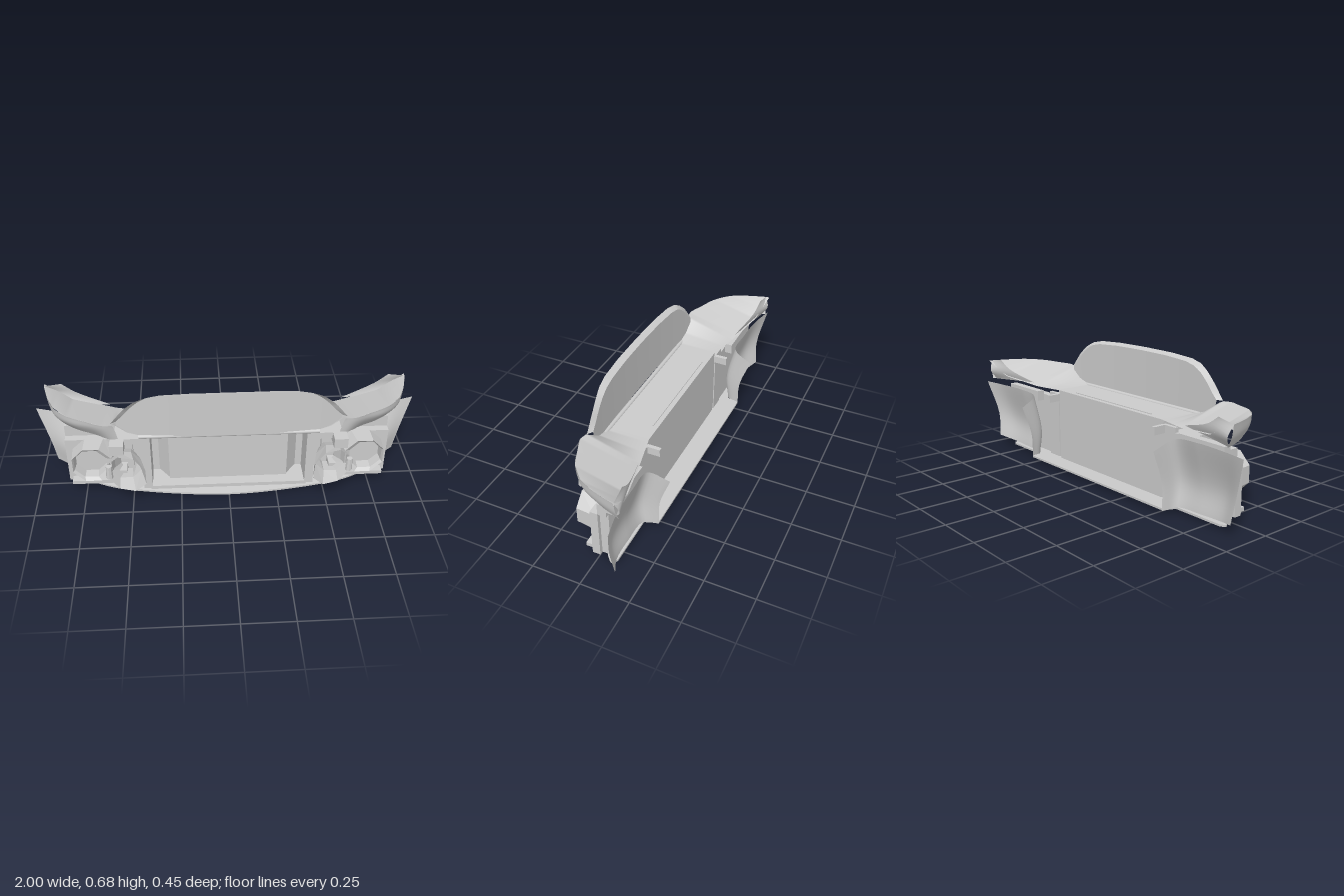
import * as THREE from 'three';
import { ParametricGeometry } from 'three/addons/geometries/ParametricGeometry.js';

const grey = new THREE.MeshStandardMaterial({ color: 0xcccccc, side: THREE.DoubleSide });
const faceted = new THREE.MeshStandardMaterial({ color: 0xcccccc, side: THREE.DoubleSide, flatShading: true });
const oneSided = new THREE.MeshStandardMaterial({ color: 0xcccccc });

function add(parent, name, geometry, material = grey) {
  const mesh = new THREE.Mesh(geometry, material);
  mesh.name = name;
  parent.add(mesh);
  return mesh;
}

// Box given by its limits on each axis
function box(parent, name, x0, x1, y0, y1, z0, z1) {
  const mesh = add(parent, name, new THREE.BoxGeometry(x1 - x0, y1 - y0, z1 - z0));
  mesh.position.set((x0 + x1) / 2, (y0 + y1) / 2, (z0 + z1) / 2);
  return mesh;
}

// Linear lookup in a short list of [key, a, b, ...] rows
function lookup(rows, key) {
  let i = 0;
  while (i < rows.length - 2 && key > rows[i + 1][0]) i++;
  const [a, b] = [rows[i], rows[i + 1]];
  const t = THREE.MathUtils.clamp((key - a[0]) / (b[0] - a[0]), 0, 1);
  return a.map((v, k) => v + (b[k] - v) * t);
}

// Surface spanned between smooth curves through points
function skin(curves, nu = 20, nv = 8) {
  const paths = curves.map(c => new THREE.CatmullRomCurve3(c.map(p => new THREE.Vector3(...p))));
  return new ParametricGeometry((u, v, out) => {
    const points = paths.map(p => p.getPoint(u));
    if (points.length === 2) out.lerpVectors(points[0], points[1], v);
    else out.copy(new THREE.CatmullRomCurve3(points).getPoint(v));
  }, nu, nv);
}

// Open eight-sided funnel lofted through [x, y, z, rx, ry, slant] rings
function funnel(rings) {
  const sides = 8, position = [], index = [];
  rings.forEach(([x, y, z, rx, ry, slant = 0], r) => {
    for (let i = 0; i < sides; i++) {
      const a = (i + 0.5) / sides * Math.PI * 2;
      position.push(x + rx * Math.cos(a), y + ry * Math.sin(a), z - slant * Math.cos(a));
      if (r === 0) continue;
      const j = (i + 1) % sides, p = (r - 1) * sides, q = r * sides;
      index.push(p + i, p + j, q + j, p + i, q + j, q + i);
    }
  });
  const g = new THREE.BufferGeometry();
  g.setAttribute('position', new THREE.Float32BufferAttribute(position, 3));
  g.setIndex(index);
  g.computeVertexNormals();
  return g;
}

// Height of the deck's front edge: low in the middle, raised over the wings
const deckHeight = x => lookup([[0, 0.41], [0.42, 0.41], [0.5, 0.435], [0.575, 0.495], [0.94, 0.515]], Math.abs(x))[1];

function createFloor() {
  const s = new THREE.Shape();
  s.moveTo(-0.53, 0.17);
  s.lineTo(0.53, 0.17);
  s.lineTo(0.55, 0.1);
  s.lineTo(0.82, 0.1);
  s.splineThru([[0.84, 0.07], [0.74, 0], [0.5, -0.085], [0, -0.14], [-0.5, -0.085], [-0.74, 0], [-0.84, 0.07], [-0.82, 0.1]]
    .map(p => new THREE.Vector2(...p)));
  s.lineTo(-0.55, 0.1);
  const g = new THREE.ExtrudeGeometry(s, { depth: 0.01, bevelEnabled: false, curveSegments: 32 });
  g.rotateX(-Math.PI / 2);
  const p = g.attributes.position;
  // Slopes up towards the back
  for (let i = 0; i < p.count; i++) p.setY(i, p.getY(i) + (0.14 - p.getZ(i)) * 0.06);
  g.computeVertexNormals();
  return g;
}

// Upright panel: a gently bowed face inside a rim that flares forward
function createPanel() {
  const panel = new THREE.Group();
  panel.name = 'uprightPanel';
  const shoulder = [[0, 0.675], [0.2, 0.673], [0.35, 0.665], [0.42, 0.65], [0.47, 0.62], [0.52, 0.575], [0.56, 0.525], [0.58, 0.5]];
  const rimDepth = [[0.5, 0.165], [0.58, 0.168], [0.63, 0.176], [0.66, 0.188], [0.675, 0.2]];
  const faceEdge = s => {
    const x = 0.555 * Math.sin(s * Math.PI / 2);
    const y = lookup(shoulder, Math.abs(x) * 0.58 / 0.555)[1];
    return new THREE.Vector3(x, y - 0.012 * THREE.MathUtils.smoothstep(y, 0.49, 0.56), 0.147 + 0.02 * (1 - (x / 0.555) ** 2));
  };
  const rimEdge = s => {
    const x = 0.58 * Math.sin(s * Math.PI / 2);
    const y = lookup(shoulder, Math.abs(x))[1];
    return new THREE.Vector3(x, y, lookup(rimDepth, y)[1]);
  };
  add(panel, 'panelFace', new ParametricGeometry((u, v, out) => {
    out.copy(faceEdge(u * 2 - 1));
    out.y = THREE.MathUtils.lerp(Math.min(deckHeight(out.x), out.y), out.y, v);
  }, 44, 8));
  add(panel, 'panelRim', new ParametricGeometry((u, v, out) => {
    out.lerpVectors(faceEdge(u * 2 - 1), rimEdge(u * 2 - 1), v);
  }, 44, 2));
  return panel;
}

// Everything that exists on both sides
function createSide() {
  const side = new THREE.Group();

  // Wing: top falling to the rear, front lip and tip fin
  const outline = [[0.57, 0.17], [0.62, 0.178], [0.7, 0.145], [0.79, 0.105], [0.87, 0.03], [0.91, -0.06], [0.94, -0.165]];
  add(side, 'wingTop', new ParametricGeometry((u, v, out) => {
    const x = 0.4 + 0.54 * u;
    const [, rearY, rearZ] = lookup([[0.4, 0.41, -0.06], [0.57, 0.412, -0.1], [0.8, 0.44, -0.155], [0.94, 0.515, -0.185]], x);
    const frontZ = x < 0.57 ? 0.155 : lookup(outline, x)[1];
    out.set(x, THREE.MathUtils.lerp(deckHeight(x), rearY, v), THREE.MathUtils.lerp(frontZ, rearZ, v));
  }, 36, 6), oneSided);
  const tuck = x => Math.sin((x - 0.57) / 0.37 * Math.PI);
  add(side, 'wingLip', skin([
    outline.map(([x, z]) => [x, deckHeight(x), z]),
    outline.map(([x, z]) => [x - 0.006, deckHeight(x) - 0.02 - (x - 0.57) * 0.1, z - 0.004]),
    outline.map(([x, z]) => [x - 0.02 - 0.02 * tuck(x), 0.402 + (x - 0.57) * 0.03 - 0.008 * tuck(x), z - 0.012 - 0.025 * tuck(x)])
  ]));
  add(side, 'wingTip', skin([
    [[0.94, 0.515, -0.165], [0.925, 0.46, -0.185], [0.91, 0.41, -0.155]],
    [[0.85, 0.53, -0.16], [0.78, 0.485, -0.15], [0.6, 0.43, -0.105]]
  ], 8, 6));

  // Wheel arch liner with its flared inner and outer edges
  add(side, 'archLiner', skin([
    [[0.53, 0.015, -0.17], [0.53, 0.155, -0.175], [0.53, 0.315, -0.23]],
    [[0.56, 0.025, -0.1], [0.56, 0.155, -0.085], [0.56, 0.36, -0.13]],
    [[0.7, 0.03, -0.09], [0.7, 0.155, -0.075], [0.7, 0.375, -0.127]],
    [[0.83, 0.04, -0.1], [0.84, 0.17, -0.085], [0.87, 0.375, -0.135]],
    [[0.92, 0.06, -0.14], [0.94, 0.19, -0.13], [1, 0.38, -0.165]]
  ], 12, 20));

  // Lamp housing and frame
  box(side, 'lampHousing', 0.5, 0.82, 0.04, 0.3, -0.065, -0.02);
  box(side, 'lampFlange', 0.57, 0.84, 0.04, 0.3, -0.02, 0.02);
  box(side, 'lampTray', 0.56, 0.82, 0.045, 0.065, 0.0, 0.065);
  box(side, 'upperBracket', 0.49, 0.84, 0.3, 0.365, -0.065, -0.02);
  box(side, 'upperBracketRear', 0.56, 0.84, 0.33, 0.385, -0.105, -0.065);
  box(side, 'upperBracketBlock', 0.53, 0.6, 0.3, 0.355, 0.08, 0.16);
  box(side, 'bracketArm', 0.44, 0.58, 0.32, 0.355, -0.02, 0.1);
  box(side, 'lampFoot', 0.53, 0.57, 0.03, 0.13, 0.0, 0.07);

  // Outer lamp bezel with its lens, and the inner flared funnel
  add(side, 'lampBezel', funnel([[0.69, 0.2, 0.02, 0.125, 0.115], [0.7, 0.205, 0.115, 0.108, 0.108],
    [0.71, 0.205, 0.1, 0.09, 0.09], [0.71, 0.205, 0.05, 0.085, 0.085]]), faceted);
  add(side, 'lampLens', new THREE.CircleGeometry(0.095, 8)).position.set(0.71, 0.205, 0.05);
  add(side, 'innerFunnel', funnel([[0.52, 0.17, 0.02, 0.045, 0.07], [0.53, 0.2, 0.11, 0.085, 0.09],
    [0.52, 0.205, 0.195, 0.105, 0.11, 0.03]]), faceted);
  add(side, 'funnelTab', new THREE.CylinderGeometry(0.015, 0.018, 0.07, 8), faceted).position.set(0.605, 0.23, 0.2);

  // Radiator side walls and posts
  box(side, 'sideWall', 0.4, 0.415, 0.03, 0.405, -0.06, 0.1);
  box(side, 'frontPost', 0.415, 0.445, 0.03, 0.405, 0.07, 0.1);
  box(side, 'rearPost', 0.415, 0.5, 0.03, 0.39, -0.065, -0.045);
  box(side, 'rearHook', 0.41, 0.43, 0.35, 0.39, -0.13, -0.06);
  add(side, 'radiatorDuct', skin([
    [[0.31, 0.05, 0.04], [0.31, 0.33, 0.04]],
    [[0.365, 0.05, -0.035], [0.365, 0.33, -0.035]]
  ], 1, 1));
  return side;
}

export function createModel() {
  const model = new THREE.Group();
  model.name = 'frontFrame';

  add(model, 'floorTray', createFloor());
  model.add(createPanel());

  // Middle deck with its rounded front edge
  box(model, 'middleDeck', -0.42, 0.42, 0.4, 0.41, -0.06, 0.155);
  const edge = add(model, 'deckEdge', new THREE.CylinderGeometry(0.012, 0.012, 0.9, 10));
  edge.rotation.z = Math.PI / 2;
  edge.position.set(0, 0.408, 0.152);
  box(model, 'deckSeam', -0.3, 0.3, 0.41, 0.414, -0.035, -0.028);

  // Radiator core, cross bars and backing
  box(model, 'radiatorCore', -0.31, 0.31, 0.04, 0.365, -0.04, 0.04);
  box(model, 'radiatorBack', -0.41, 0.41, 0.035, 0.4, -0.06, -0.04);
  box(model, 'upperBar', -0.35, 0.35, 0.345, 0.375, -0.04, 0.025);
  box(model, 'lowerBar', -0.41, 0.41, 0.022, 0.042, -0.06, 0.1);

  const left = createSide();
  left.name = 'leftSide';
  const right = createSide();
  right.name = 'rightSide';
  right.scale.x = -1;
  model.add(left, right);
  return model;
}
